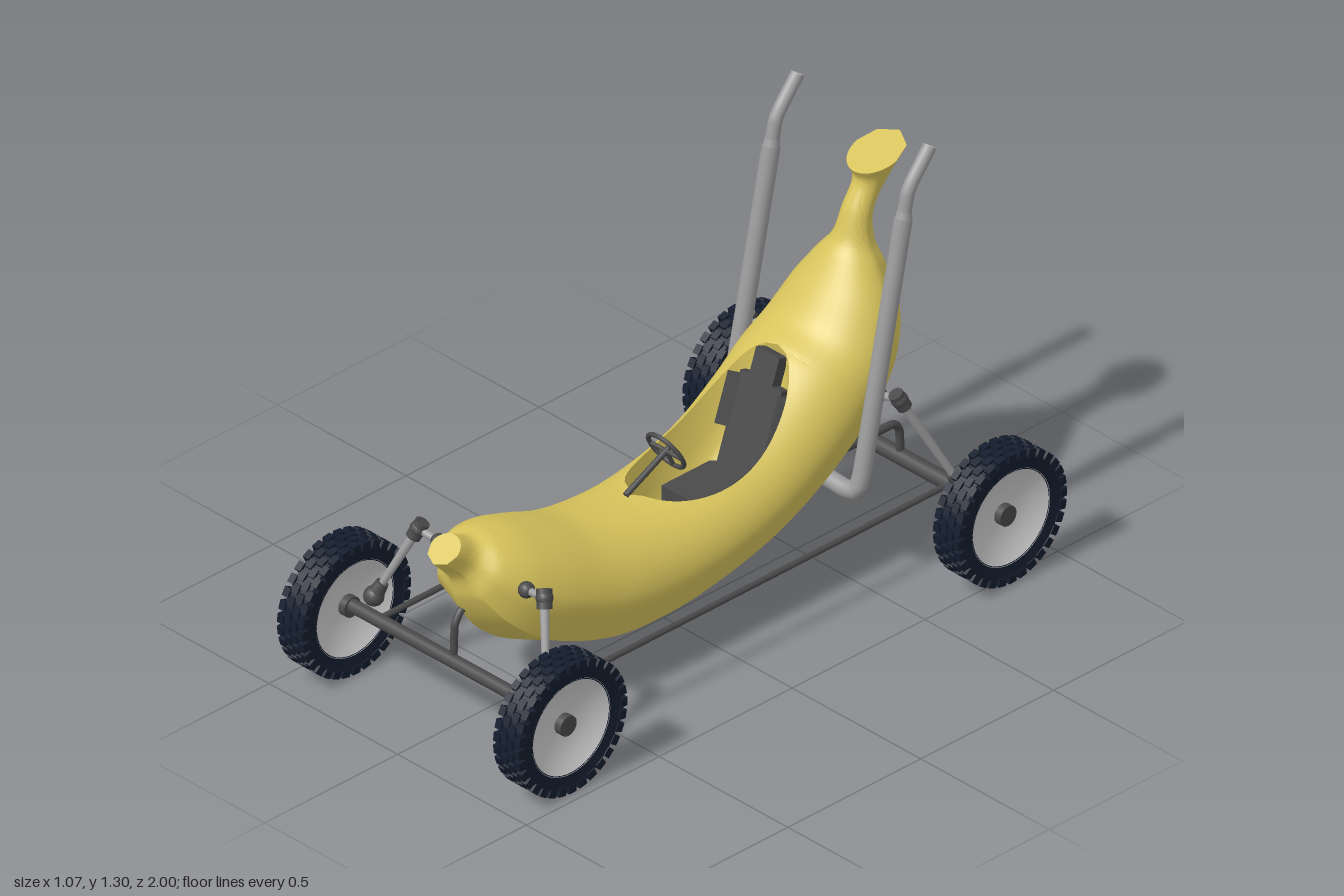
import * as THREE from 'three';
import { mergeGeometries, toCreasedNormals } from 'three/addons/utils/BufferGeometryUtils.js';

const V = (x, y, z) => new THREE.Vector3(x, y, z);
const mat = (color, side = THREE.FrontSide) => new THREE.MeshStandardMaterial({ color, side });
const yellow = mat(0xd8c45c, THREE.DoubleSide);
const dark = mat(0x4a4a4a);
const steel = mat(0x9c9c9c, THREE.DoubleSide);
const rimGrey = mat(0xcccccc, THREE.DoubleSide);
const rubber = mat(0x141d2e);

function add(parent, name, geometry, material) {
  const m = new THREE.Mesh(geometry, material);
  m.name = name;
  parent.add(m);
  return m;
}

// Straight round bar between two points
function bar(parent, name, a, b, r, material, r2 = r, sides = 14) {
  const m = add(parent, name, new THREE.CylinderGeometry(r2, r, a.distanceTo(b), sides), material);
  m.position.copy(a).add(b).multiplyScalar(0.5);
  m.quaternion.setFromUnitVectors(V(0, 1, 0), b.clone().sub(a).normalize());
  return m;
}

// Bent tube through a few points
function pipe(parent, name, points, r, material) {
  const curve = new THREE.CatmullRomCurve3(points, false, 'catmullrom', 0.2);
  return add(parent, name, new THREE.TubeGeometry(curve, 48, r, 14), material);
}

// Skin over rows of points
function loft(rows) {
  const n = rows[0].length, index = [];
  for (let i = 0; i < rows.length - 1; i++)
    for (let j = 0; j < n - 1; j++) {
      const a = i * n + j, b = a + n;
      index.push(a, a + 1, b, a + 1, b + 1, b);
    }
  const g = new THREE.BufferGeometry().setFromPoints(rows.flat());
  g.setIndex(index);
  return toCreasedNormals(g, 0.6);
}

// Body stations: top z, top y, bottom z, bottom y, half width
const stations = [
  [0.785, 0.61, 0.865, 0.55, 0.05], [0.735, 0.585, 0.80, 0.475, 0.06],
  [0.68, 0.585, 0.78, 0.40, 0.12], [0.60, 0.57, 0.72, 0.30, 0.172],
  [0.50, 0.535, 0.60, 0.20, 0.205], [0.34, 0.475, 0.35, 0.105, 0.22],
  [0.13, 0.45, 0.13, 0.09, 0.22], [-0.05, 0.47, -0.10, 0.12, 0.22],
  [-0.20, 0.52, -0.30, 0.175, 0.22], [-0.32, 0.60, -0.50, 0.275, 0.22],
  [-0.42, 0.68, -0.66, 0.40, 0.218], [-0.50, 0.72, -0.77, 0.55, 0.205],
  [-0.57, 0.80, -0.81, 0.70, 0.165], [-0.63, 0.88, -0.79, 0.83, 0.10],
  [-0.66, 0.92, -0.77, 0.90, 0.062], [-0.69, 1.0, -0.77, 0.98, 0.045],
  [-0.73, 1.08, -0.81, 1.05, 0.046], [-0.715, 1.115, -0.89, 1.17, 0.076],
];

function buildBody(parent) {
  const tops = new THREE.CatmullRomCurve3(stations.map(s => V(s[4], s[1], s[0])));
  const bottoms = new THREE.CatmullRomCurve3(stations.map(s => V(0, s[3], s[2])));
  const steps = (stations.length - 1) * 8;
  const knee = 2.29;
  const skin = [], tub = [];
  for (let i = 0; i <= steps; i++) {
    const top = tops.getPoint(i / steps), bottom = bottoms.getPoint(i / steps);
    const half = top.x;
    top.x = 0;
    const mid = top.clone().add(bottom).multiplyScalar(0.5), up = top.clone().sub(mid);
    const at = (s, c) => V(half * s, mid.y + up.y * c, mid.z + up.z * c);
    // Oval cockpit opening
    const e = 1 - ((top.z + 0.16) / 0.27) ** 2;
    const open = e > 0 ? 0.15 * Math.sqrt(e) : 0;
    const start = Math.asin(open / half);
    // Round above, flat facets and a keel below
    const side = [];
    for (let k = 0; k <= 10; k++) {
      const t = start + (Math.PI / 2 - start) * k / 10;
      side.push(at(Math.sin(t), Math.cos(t)));
    }
    for (const [a, b] of [[Math.PI / 2, knee], [knee, Math.PI]])
      for (let k = 1; k <= 3; k++) {
        const f = k / 3;
        side.push(at(Math.sin(a) * (1 - f) + Math.sin(b) * f, Math.cos(a) * (1 - f) + Math.cos(b) * f));
      }
    const mirrored = side.slice(0, -1).reverse().map(p => V(-p.x, p.y, p.z));
    skin.push([...side, ...mirrored]);
    if (open > 0) {
      const rim = at(0, Math.cos(start)), row = [];
      for (let k = 0; k <= 16; k++) {
        const u = k / 8 - 1;
        row.push(V(open * u, rim.y - 1.45 * open * (1 - u ** 6), rim.z));
      }
      tub.push(row);
    }
  }
  // Flat ends
  const centre = row => {
    const c = row.reduce((s, p) => s.add(p), V(0, 0, 0)).divideScalar(row.length);
    return row.map(() => c.clone());
  };
  skin.unshift(centre(skin[0]));
  skin.push(centre(skin[skin.length - 1]));
  add(parent, 'body', loft(skin), yellow);
  add(parent, 'cockpitTub', loft(tub), yellow);
}

function buildWheel(name) {
  const g = new THREE.Group();
  g.name = name;
  const profile = [[0.143, -0.042], [0.182, -0.047], [0.196, -0.036], [0.196, 0.036], [0.182, 0.047], [0.143, 0.042]];
  const tyre = new THREE.LatheGeometry(profile.map(p => new THREE.Vector2(...p)), 48);
  add(g, 'tyre', toCreasedNormals(tyre, 0.5), rubber);
  // Staggered tread blocks, outer rows wrapping onto the sidewall
  const blocks = [];
  [-0.039, -0.013, 0.013, 0.039].forEach((y, row) => {
    const outer = Math.abs(y) > 0.03;
    for (let k = 0; k < 32; k++) {
      const b = new THREE.BoxGeometry(outer ? 0.024 : 0.014, 0.022, 0.027);
      b.translate(outer ? 0.192 : 0.197, y, 0);
      b.rotateY((k + (row % 2) / 2) * Math.PI / 16);
      blocks.push(b);
    }
  });
  add(g, 'treadBlocks', mergeGeometries(blocks), rubber);
  // Dished rim on both faces
  const dish = [[0, 0.008], [0.05, 0.01], [0.09, 0.018], [0.125, 0.031], [0.147, 0.043]];
  for (const s of [-1, 1])
    add(g, 'rim', new THREE.LatheGeometry(dish.map(([r, y]) => new THREE.Vector2(r, y * s)), 40), rimGrey);
  add(g, 'hub', new THREE.CylinderGeometry(0.031, 0.031, 0.065, 16), dark);
  g.rotation.z = Math.PI / 2;
  return g;
}

// Ball joints, body link and strut of one corner
function buildSuspension(parent, name, inner, outer, foot) {
  const g = new THREE.Group();
  g.name = name;
  parent.add(g);
  bar(g, 'link', inner, outer, 0.011, steel);
  bar(g, 'strut', outer, foot, 0.014, steel, 0.01);
  for (const [p, r] of [[inner, 0.024], [outer, 0.025], [foot, 0.03]])
    add(g, 'joint', new THREE.SphereGeometry(r, 12, 8), dark).position.copy(p);
  const lean = outer.clone().sub(foot).normalize();
  bar(g, 'strutFoot', foot, foot.clone().addScaledVector(lean, 0.05), 0.026, dark, 0.018);
  bar(g, 'strutCap', outer.clone().addScaledVector(lean, -0.03), outer.clone().addScaledVector(lean, 0.025), 0.022, dark);
}

function buildSeat(parent) {
  const g = new THREE.Group();
  g.name = 'seat';
  parent.add(g);
  add(g, 'cushion', new THREE.BoxGeometry(0.2, 0.06, 0.2), dark).position.set(0, 0.31, -0.19);
  const back = new THREE.Group();
  back.name = 'backrest';
  back.position.set(0, 0.32, -0.285);
  back.rotation.x = -0.34;
  g.add(back);
  add(back, 'backPad', new THREE.BoxGeometry(0.16, 0.29, 0.03), dark).position.y = 0.145;
  add(back, 'headrest', new THREE.BoxGeometry(0.09, 0.085, 0.035), dark).position.y = 0.33;
  for (const s of [-1, 1]) {
    const wing = add(back, 'wing', new THREE.BoxGeometry(0.05, 0.15, 0.03), dark);
    wing.position.set(s * 0.092, 0.2, 0.012);
    wing.rotation.y = -s * 0.7;
  }
}

function buildSteering(parent) {
  const g = new THREE.Group();
  g.name = 'steeringWheel';
  g.position.set(0, 0.53, -0.01);
  g.rotation.x = 0.46;
  parent.add(g);
  add(g, 'wheelRing', new THREE.TorusGeometry(0.063, 0.007, 8, 32), dark);
  for (const a of [0, Math.PI, -Math.PI / 2])
    bar(g, 'spoke', V(0, 0, 0), V(Math.cos(a) * 0.06, Math.sin(a) * 0.06, 0), 0.006, dark);
  bar(g, 'column', V(0, 0, -0.01), V(0, 0, 0.17), 0.009, dark);
}

export function createModel() {
  const model = new THREE.Group();
  model.name = 'fruitRacer';
  buildBody(model);
  buildSeat(model);
  buildSteering(model);

  // Axles and central front post
  bar(model, 'frontAxle', V(-0.42, 0.213, 0.795), V(0.42, 0.213, 0.795), 0.02, dark);
  bar(model, 'rearAxle', V(-0.48, 0.215, -0.795), V(0.48, 0.215, -0.795), 0.024, dark);
  pipe(model, 'frontPost', [V(0, 0.21, 0.79), V(0, 0.32, 0.785), V(0, 0.36, 0.76), V(0, 0.37, 0.68)], 0.011, dark);

  for (const s of [-1, 1]) {
    const front = buildWheel('frontWheel');
    front.position.set(s * 0.42, 0.207, 0.795);
    const rear = buildWheel('rearWheel');
    rear.position.set(s * 0.487, 0.212, -0.795);
    model.add(front, rear);

    bar(model, 'sideRod', V(s * 0.29, 0.212, 0.79), V(s * 0.29, 0.212, -0.79), 0.009, dark);
    pipe(model, 'rearBracket', [V(s * 0.1, 0.215, -0.795), V(s * 0.1, 0.3, -0.79), V(s * 0.1, 0.33, -0.76), V(s * 0.1, 0.33, -0.5)], 0.012, dark);

    buildSuspension(model, 'frontSuspension', V(s * 0.17, 0.465, 0.68), V(s * 0.245, 0.475, 0.685), V(s * 0.335, 0.255, 0.765));
    buildSuspension(model, 'rearSuspension', V(s * 0.215, 0.55, -0.6), V(s * 0.293, 0.565, -0.605), V(s * 0.365, 0.255, -0.765));

    // Exhaust: wide lower pipe, narrower bent tip
    const x = s * 0.257;
    pipe(model, 'exhaustPipe', [V(s * 0.06, 0.31, -0.48), V(s * 0.21, 0.3, -0.48), V(x * 0.97, 0.31, -0.485), V(x, 0.36, -0.498), V(x, 0.7, -0.57), V(x, 1.11, -0.655)], 0.026, steel);
    pipe(model, 'exhaustTip', [V(x, 1.08, -0.649), V(x, 1.18, -0.67), V(x, 1.215, -0.69), V(x, 1.295, -0.755)], 0.02, steel);
    bar(model, 'exhaustCollar', V(x, 1.1, -0.653), V(x, 1.13, -0.659), 0.026, steel, 0.02);
  }
  return model;
}
